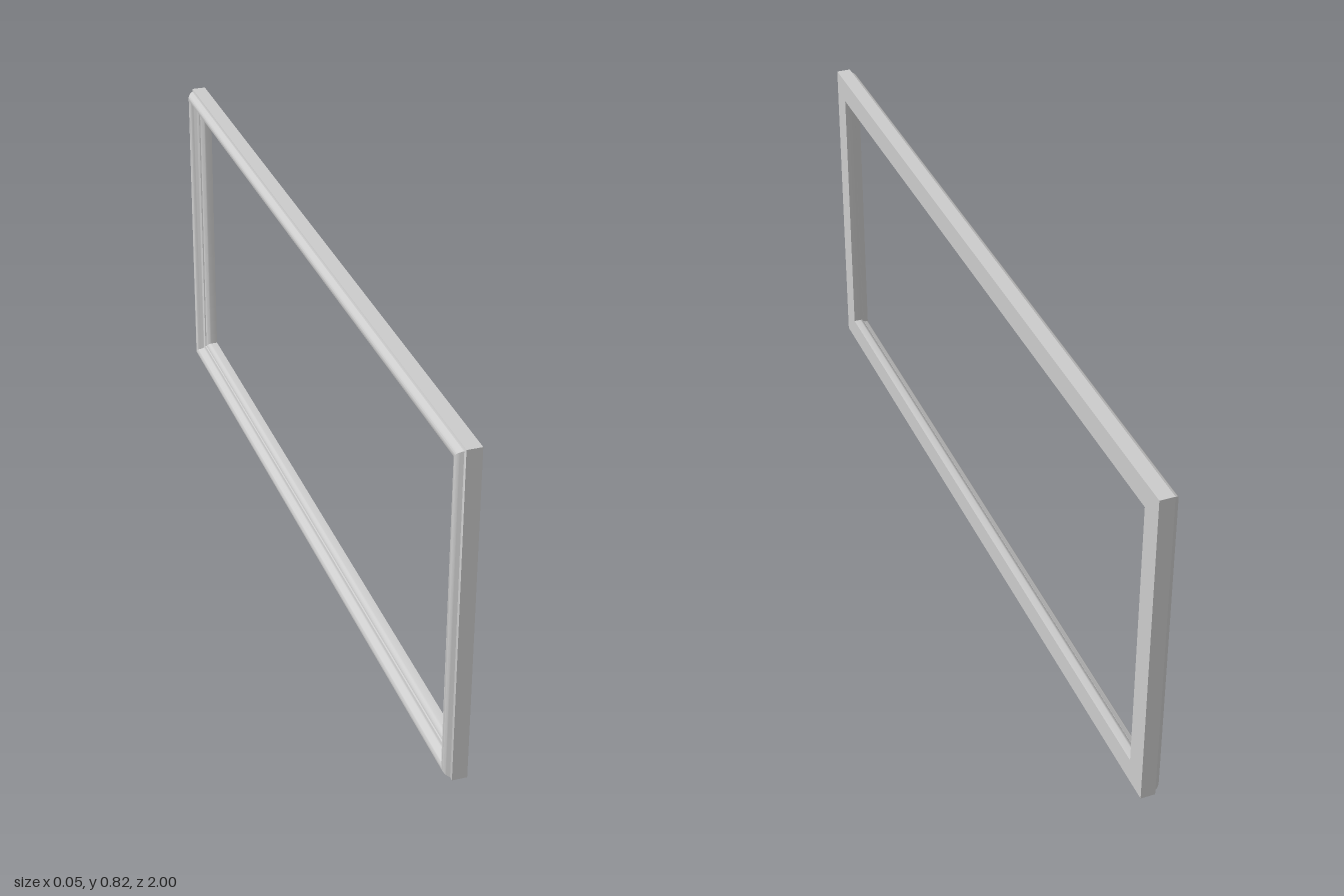
import * as THREE from 'three';
import { toCreasedNormals } from 'three/addons/utils/BufferGeometryUtils.js';

const HEIGHT = 0.823, HALF_LENGTH = 1;

// Moulding cross-section: x = distance inward from the outer edge, y = depth (flat back at +0.025)
function mouldingProfile() {
  const path = new THREE.Path();
  path.moveTo(0, 0.025);
  path.lineTo(0, -0.01);
  path.lineTo(0.006, -0.012);
  path.quadraticCurveTo(0.008, -0.021, 0.017, -0.026); // outer shoulder
  path.lineTo(0.024, -0.026);                          // crown
  path.quadraticCurveTo(0.03, -0.025, 0.032, -0.019);
  path.quadraticCurveTo(0.035, -0.008, 0.046, -0.006); // cove
  path.lineTo(0.047, -0.003);
  path.quadraticCurveTo(0.058, -0.003, 0.06, 0.008);   // inner bead
  path.lineTo(0.06, 0.025);
  return path.getPoints(6);
}

// Sweep the profile round the rectangle with mitred corners
function frameGeometry(profile) {
  const corners = [[1, -1], [1, 1], [-1, 1], [-1, -1]];
  const at = ([sz, sy], p) =>
    [p.y, HEIGHT / 2 + sy * (HEIGHT / 2 - p.x), sz * (HALF_LENGTH - p.x)];
  const positions = [];
  corners.forEach((c0, i) => {
    const c1 = corners[(i + 1) % 4];
    profile.forEach((p0, j) => {
      const p1 = profile[(j + 1) % profile.length];
      const a = at(c0, p0), b = at(c1, p0), c = at(c1, p1), d = at(c0, p1);
      positions.push(...a, ...b, ...c, ...a, ...c, ...d);
    });
  });
  const geometry = new THREE.BufferGeometry();
  geometry.setAttribute('position', new THREE.Float32BufferAttribute(positions, 3));
  return toCreasedNormals(geometry, Math.PI / 5);
}

export function createModel() {
  const group = new THREE.Group();
  group.name = 'pictureFrame';
  const material = new THREE.MeshStandardMaterial({ color: 0xcccccc });
  const frame = new THREE.Mesh(frameGeometry(mouldingProfile()), material);
  frame.name = 'mouldedFrame';
  group.add(frame);
  return group;
}
